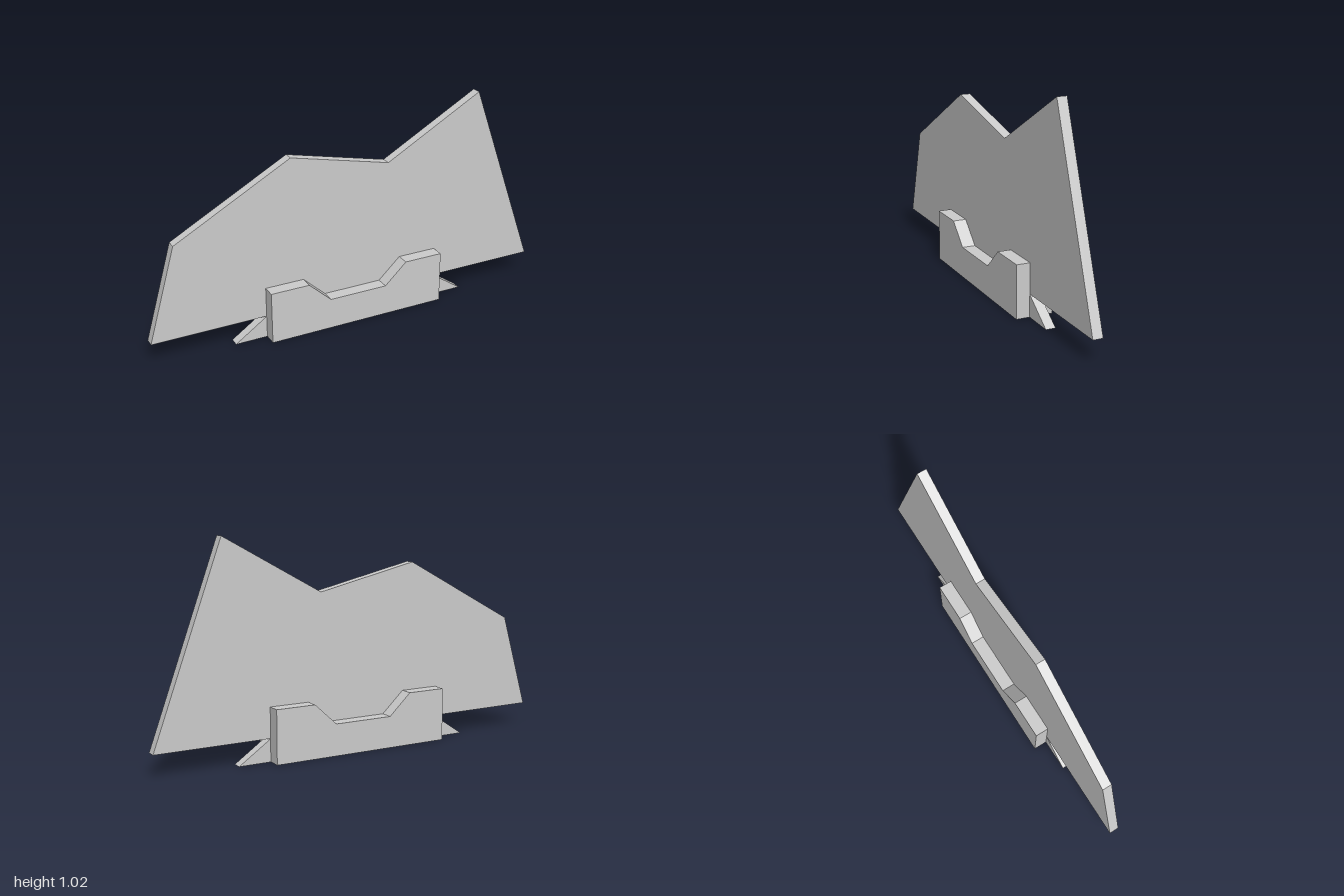
import * as THREE from 'three';

const material = new THREE.MeshStandardMaterial({ color: 0xcccccc, flatShading: true });

// Flat slab cut from an outline in the xy plane, spanning z0 to z1
function slab(name, outline, z0, z1) {
  const shape = new THREE.Shape(outline.map(([x, y]) => new THREE.Vector2(x, y)));
  const geometry = new THREE.ExtrudeGeometry(shape, { depth: z1 - z0, bevelEnabled: false });
  geometry.translate(0, 0, z0);
  const mesh = new THREE.Mesh(geometry, material);
  mesh.name = name;
  return mesh;
}

export function createModel() {
  const group = new THREE.Group();
  group.name = 'standingPanel';

  const half = 0.0235; // half thickness of panel and foot
  const outer = 0.088; // outer face of the side clamps

  // Tall panel with a jagged top edge
  group.add(slab('panel', [
    [-1, 0.108], [1, 0.108], [0.668, 1.022], [0.185, 0.753], [-0.308, 0.866], [-0.868, 0.561],
  ], -half, half));

  // Tapered foot below the panel
  group.add(slab('foot', [
    [-0.603, 0], [0.603, 0], [0.445, 0.108], [-0.445, 0.108],
  ], -half, half));

  // Notched clamps on the front and back
  const clampOutline = [
    [-0.447, 0], [0.447, 0], [0.447, 0.253], [0.253, 0.253],
    [0.143, 0.151], [-0.147, 0.151], [-0.257, 0.253], [-0.447, 0.253],
  ];
  group.add(slab('frontClamp', clampOutline, half, outer));
  group.add(slab('backClamp', clampOutline, -outer, -half));

  return group;
}
